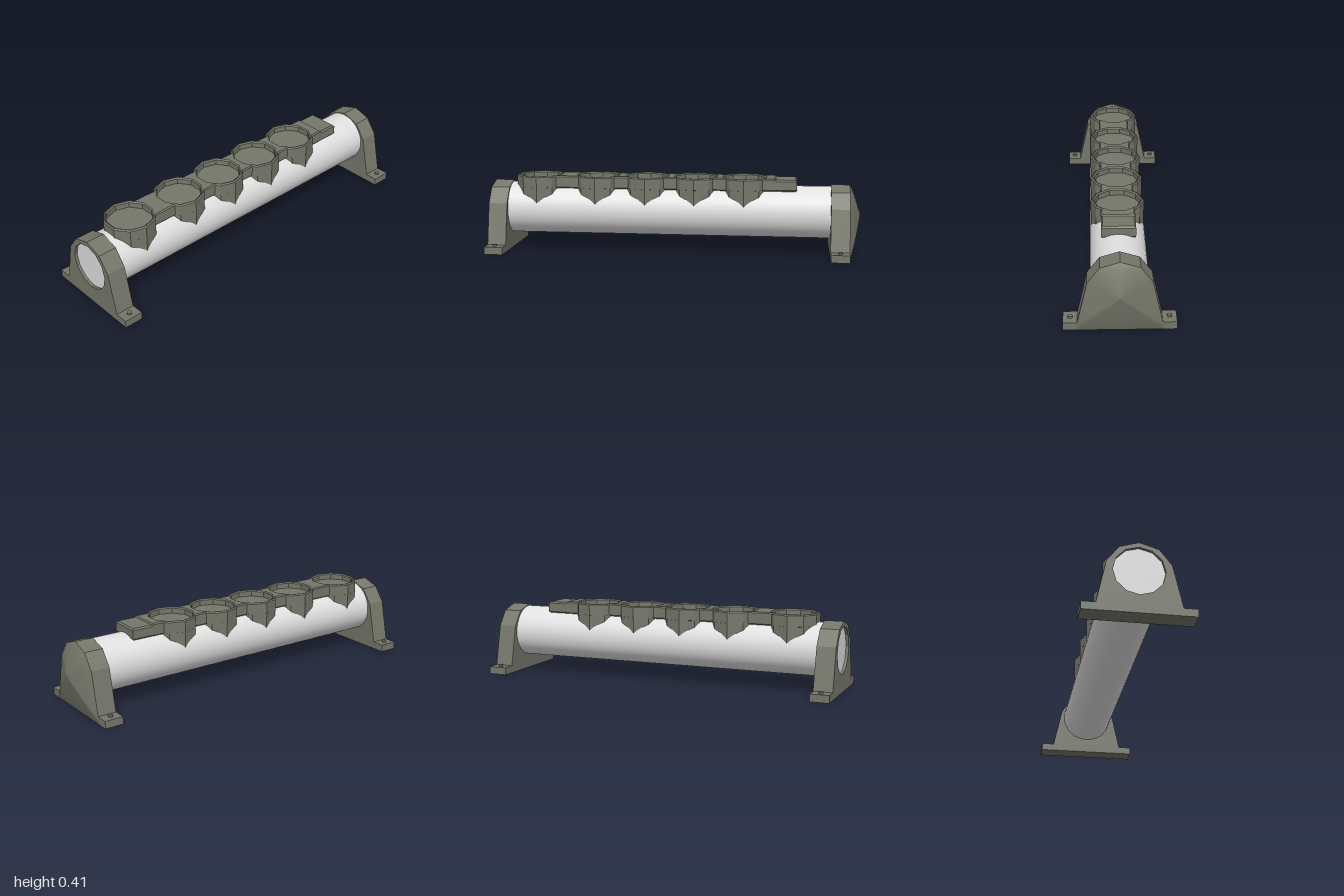
import * as THREE from 'three';

const olive = new THREE.MeshStandardMaterial({ color: 0x75776a });
olive.name = 'olive plastic';
const white = new THREE.MeshStandardMaterial({ color: 0xe0e0e0 });
white.name = 'white tube';

// Half outline of the end bracket above its feet, as [z, y]
const ARCH = [[0.203, 0.04], [0.155, 0.26], [0.095, 0.34], [0, 0.37]];
const mirrorArch = [...ARCH, ...ARCH.slice(0, 3).reverse().map(([z, y]) => [-z, y])];
const AXIS_Y = 0.22;
const CUPS = [-0.74, -0.42, -0.15, 0.115, 0.38];

const toShape = (pts) => new THREE.Shape(pts.map(([x, y]) => new THREE.Vector2(x, y)));

function ngon(cx, cy, r, n) {
  const pts = [];
  for (let i = 0; i < n; i++) {
    const a = Math.PI / 2 + (i / n) * Math.PI * 2;
    pts.push(new THREE.Vector2(cx + r * Math.cos(a), cy + r * Math.sin(a)));
  }
  return new THREE.Path(pts);
}

function add(parent, name, geometry, material, x = 0, y = 0, z = 0) {
  const mesh = new THREE.Mesh(geometry, material);
  mesh.name = name;
  mesh.position.set(x, y, z);
  parent.add(mesh);
  return mesh;
}

// Upright bracket with two bolted feet; x is its left face
function bracket(name, x, open) {
  const group = new THREE.Group();
  group.name = name;
  const shape = toShape([[0.272, 0], [0.272, 0.04], ...mirrorArch, [-0.272, 0.04], [-0.272, 0]]);
  if (open) shape.holes.push(ngon(0, AXIS_Y, 0.125, 12));
  const plate = new THREE.ExtrudeGeometry(shape, { depth: 0.1, bevelEnabled: false });
  plate.rotateY(Math.PI / 2);
  add(group, 'bracketPlate', plate, olive, x);
  for (const s of [-1, 1]) {
    add(group, 'bolt', new THREE.CylinderGeometry(0.012, 0.012, 0.02, 10), olive, x + 0.05, 0.04, s * 0.238);
  }
  return group;
}

// Bulging end cap: arch outline shrinking to a point
function capGeometry() {
  const outline = [[0.208, 0], ...mirrorArch, [-0.208, 0]];
  const rings = [[0.94, 1], [0.952, 0.87], [0.968, 0.62], [0.984, 0.33], [1, 0]];
  const n = outline.length, pos = [], idx = [];
  for (const [x, s] of rings) {
    for (const [z, y] of outline) pos.push(x, 0.21 + (y - 0.21) * s, z * s);
  }
  for (let r = 0; r < rings.length - 1; r++) {
    for (let i = 0; i < n; i++) {
      const a = r * n + i, b = r * n + (i + 1) % n;
      idx.push(a, b, a + n);
      if (r < rings.length - 2) idx.push(b, b + n, a + n);
    }
  }
  // Wind every face away from the bracket
  for (let t = 0; t < idx.length; t += 3) {
    const v = [0, 1, 2].map((k) => new THREE.Vector3().fromArray(pos, idx[t + k] * 3));
    const normal = v[1].clone().sub(v[0]).cross(v[2].clone().sub(v[0]));
    if (normal.x < 0) [idx[t + 1], idx[t + 2]] = [idx[t + 2], idx[t + 1]];
  }
  const g = new THREE.BufferGeometry();
  g.setAttribute('position', new THREE.Float32BufferAttribute(pos, 3));
  g.setIndex(idx);
  g.computeVertexNormals();
  return g;
}

// Extrude a plan shape downwards from y = 0 with chamfered edges
function slab(shape, height, bevel) {
  const g = new THREE.ExtrudeGeometry(shape, {
    depth: height - 2 * bevel, bevelThickness: bevel, bevelSize: bevel,
    bevelOffset: -bevel, bevelSegments: 1,
  });
  g.translate(0, 0, bevel);
  g.rotateX(Math.PI / 2);
  return g;
}

export function createModel() {
  const model = new THREE.Group();
  model.name = 'tubeWithCupRack';

  const tube = new THREE.CylinderGeometry(0.14, 0.14, 1.885, 48);
  tube.rotateZ(Math.PI / 2);
  add(model, 'tube', tube, white, -0.0425, AXIS_Y, 0);

  model.add(bracket('openBracket', -1, true));
  model.add(bracket('closedBracket', 0.84, false));
  add(model, 'domedCap', capGeometry(), olive);

  // Rack: ten-sided cups joined by a bar, all in one outline
  const rack = new THREE.Group();
  rack.name = 'cupRack';
  model.add(rack);
  const side = [[-0.868, 0.042], [-0.819, 0.109], [-0.74, 0.135], [-0.661, 0.109], [-0.643, 0.085]];
  for (const c of CUPS.slice(1)) {
    side.push([c - 0.097, 0.085], [c - 0.079, 0.109], [c, 0.135], [c + 0.079, 0.109], [c + 0.097, 0.085]);
  }
  side.push([0.548, 0.085]);
  const outline = toShape([...side, ...side.slice().reverse().map(([x, z]) => [x, -z])]);
  for (const c of CUPS) outline.holes.push(ngon(c, 0, 0.117, 10));
  add(rack, 'rackBar', slab(outline, 0.068, 0.006), olive, 0, 0.406, 0);

  // Stepped tail at the end of the bar
  const tail = toShape([[0.53, -0.085], [0.66, -0.085], [0.66, 0.085], [0.53, 0.085]]);
  add(rack, 'rackTail', slab(tail, 0.062, 0.008), olive, 0, 0.4, 0);

  // Cup bodies run down into the tube; their tops are the cup floors
  for (const c of CUPS) {
    const body = new THREE.CylinderGeometry(0.1345, 0.1345, 0.15, 10).toNonIndexed();
    body.computeVertexNormals();
    add(rack, 'cupBody', body, olive, c, 0.297, 0);
  }
  return model;
}
